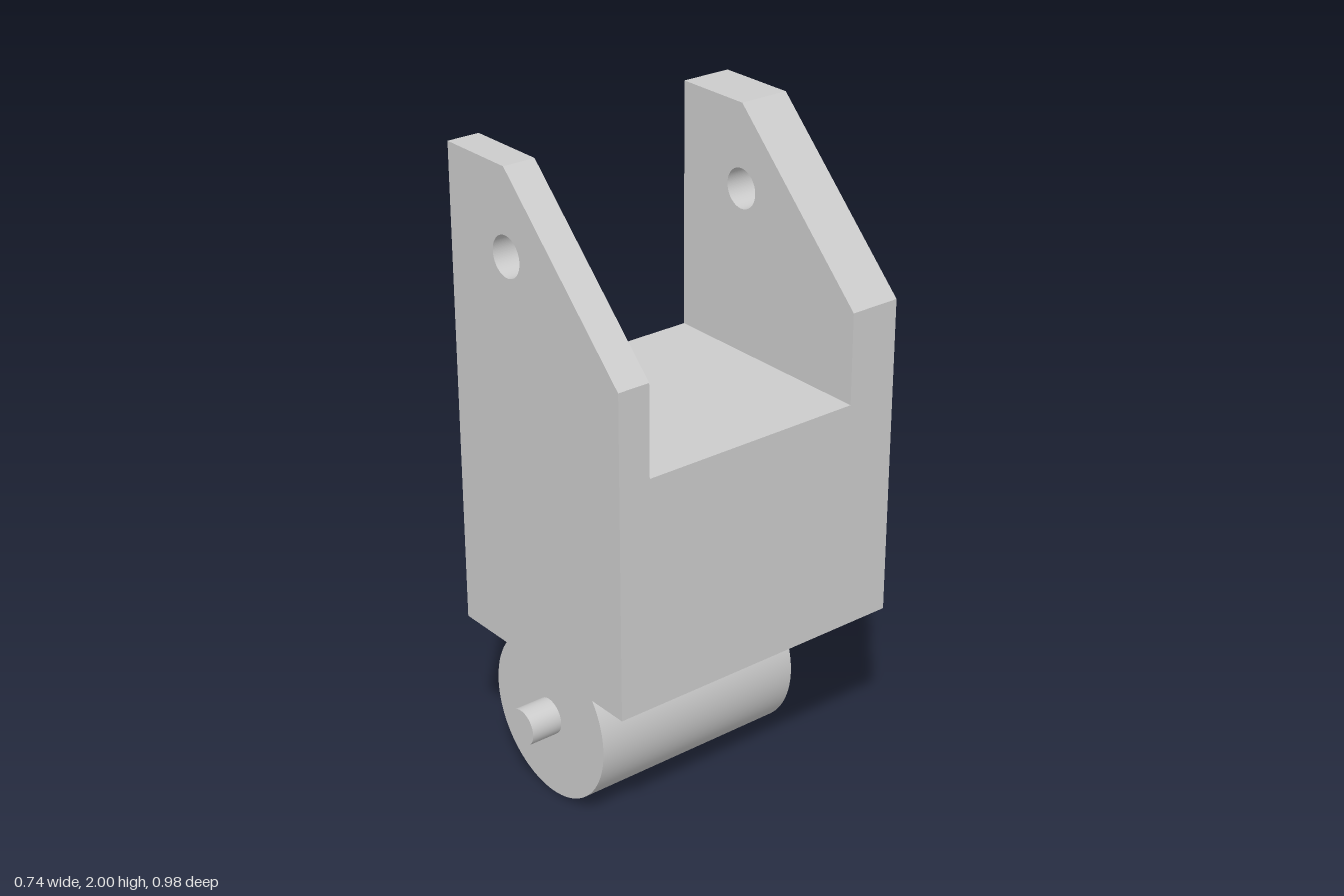
import * as THREE from 'three';

const material = new THREE.MeshStandardMaterial({ color: 0xcccccc });
const AXIS_X = -0.113; // shared by the pin holes and the roller
const ROLLER_R = 0.261;

function add(group, name, geometry, x = 0, y = 0, z = 0) {
  const mesh = new THREE.Mesh(geometry, material);
  mesh.name = name;
  mesh.position.set(x, y, z);
  group.add(mesh);
}

// Chamfered side plate with a round pin hole, from z0 to z1
function cheek(z0, z1) {
  const shape = new THREE.Shape([
    [-0.37, 0.523], [0.37, 0.523], [0.37, 1.52], [AXIS_X, 2], [-0.37, 2],
  ].map(([x, y]) => new THREE.Vector2(x, y)));
  const hole = new THREE.Path();
  hole.absarc(AXIS_X, 1.745, 0.061, 0, Math.PI * 2, true);
  shape.holes.push(hole);
  return new THREE.ExtrudeGeometry(shape, { depth: z1 - z0, bevelEnabled: false, curveSegments: 48 })
    .translate(0, 0, z0);
}

// Cylinder lying along z, from z0 to z1
function rod(radius, z0, z1) {
  return new THREE.CylinderGeometry(radius, radius, z1 - z0, 96)
    .rotateX(Math.PI / 2).translate(0, 0, (z0 + z1) / 2);
}

export function createModel() {
  const model = new THREE.Group();
  model.name = 'rollerBracket';

  // Fork: thin front cheek, thicker back cheek, solid block between them
  add(model, 'frontCheek', cheek(0.39, 0.492));
  add(model, 'backCheek', cheek(-0.492, -0.33));
  add(model, 'centreBlock', new THREE.BoxGeometry(0.74, 0.717, 0.72), 0, 0.8815, 0.03);

  // Roller under the block, with an axle stub at each end
  add(model, 'roller', rod(ROLLER_R, -0.33, 0.39), AXIS_X, ROLLER_R);
  add(model, 'frontAxle', rod(0.057, 0.39, 0.492), AXIS_X, ROLLER_R);
  add(model, 'backAxle', rod(0.057, -0.492, -0.33), AXIS_X, ROLLER_R);

  return model;
}
